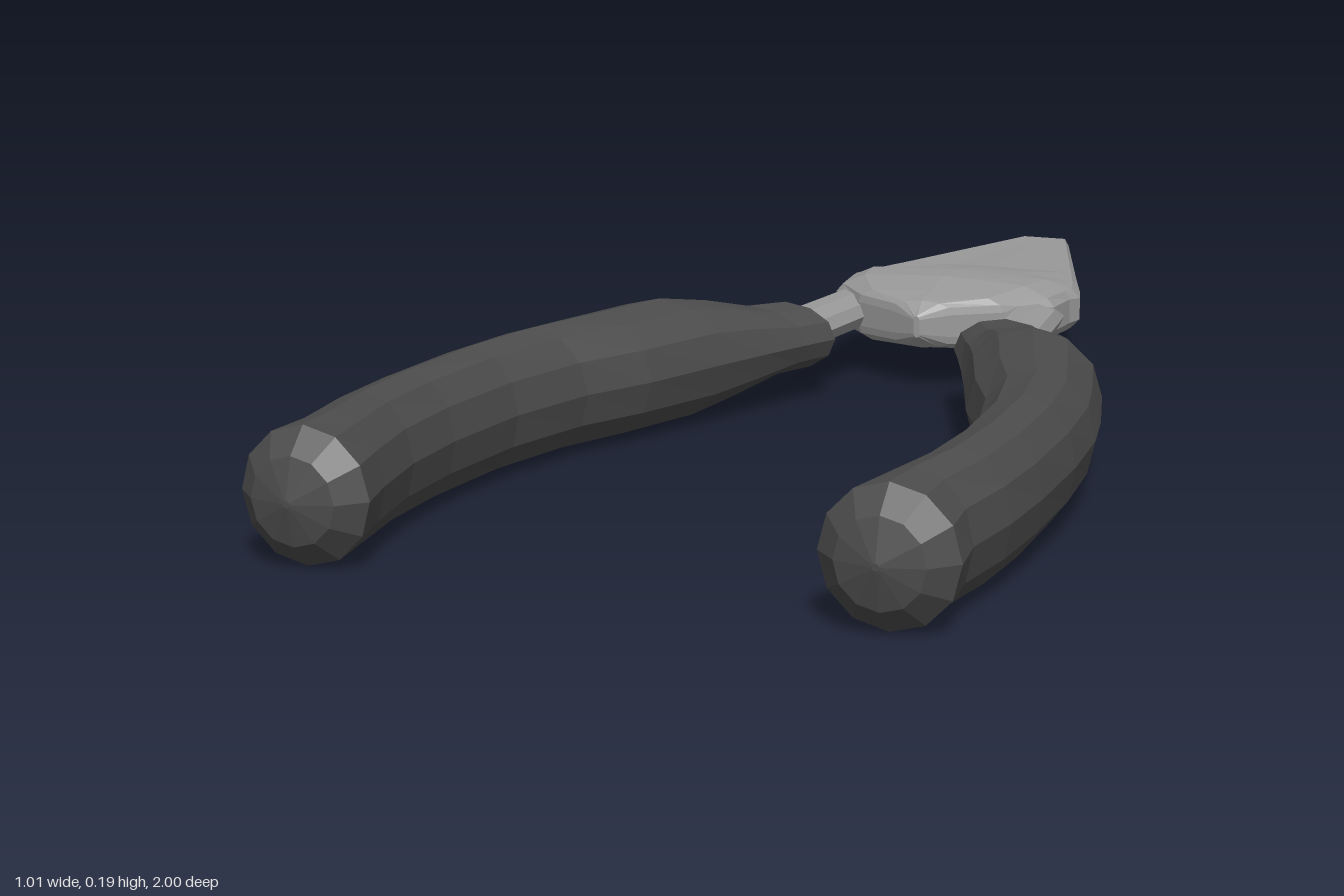
import * as THREE from 'three';

// Skin a list of equal-length rings (counter-clockwise seen from +z), capped at both ends.
function loft(rings) {
  const n = rings[0].length, pos = [], index = [];
  rings.forEach(r => r.forEach(p => pos.push(...p)));
  for (let i = 0; i < rings.length - 1; i++) {
    for (let j = 0; j < n; j++) {
      const a = i * n + j, b = i * n + (j + 1) % n;
      index.push(a, b, b + n, a, b + n, a + n);
    }
  }
  [0, rings.length - 1].forEach((ri, end) => {
    const c = pos.length / 3;
    pos.push(...[0, 1, 2].map(k => rings[ri].reduce((s, p) => s + p[k], 0) / n));
    for (let j = 0; j < n; j++) {
      const a = ri * n + j, b = ri * n + (j + 1) % n;
      index.push(c, end ? a : b, end ? b : a);
    }
  });
  const g = new THREE.BufferGeometry();
  g.setAttribute('position', new THREE.Float32BufferAttribute(pos, 3));
  g.setIndex(index);
  g.computeVertexNormals();
  return g;
}

function ellipse(cx, cy, z, rx, ry, sides) {
  return Array.from({ length: sides }, (_, i) => {
    const a = (i / sides) * Math.PI * 2;
    return [cx + rx * Math.cos(a), cy + ry * Math.sin(a), z];
  });
}

export function createModel() {
  const group = new THREE.Group();
  const steel = new THREE.MeshStandardMaterial({ color: 0x999999, flatShading: true });
  const rubber = new THREE.MeshStandardMaterial({ color: 0x4c4c4c, flatShading: true });
  const add = (name, geometry, material) => {
    const m = new THREE.Mesh(geometry, material);
    m.name = name;
    group.add(m);
  };

  // Jaws and pivot body: z, edge x/y, bevel x/y, shoulder x/y, ridge y
  const headStations = [
    [-1.0, 0.02, 0.003, 0.016, 0.006, 0.01, 0.006, 0.006],
    [-0.98, 0.045, 0.014, 0.038, 0.026, 0.02, 0.026, 0.026],
    [-0.67, 0.155, 0.017, 0.145, 0.03, 0.07, 0.03, 0.031],
    [-0.58, 0.188, 0.018, 0.175, 0.032, 0.08, 0.044, 0.047],
    [-0.525, 0.205, 0.018, 0.19, 0.033, 0.14, 0.045, 0.055],
    [-0.5, 0.195, 0.02, 0.187, 0.034, 0.15, 0.051, 0.058],
    [-0.43, 0.19, 0.02, 0.178, 0.034, 0.14, 0.052, 0.059],
    [-0.36, 0.125, 0.02, 0.12, 0.032, 0.1, 0.042, 0.047],
    [-0.32, 0.05, 0.018, 0.045, 0.03, 0.03, 0.036, 0.039],
    [-0.295, 0.005, 0.012, 0.004, 0.014, 0.003, 0.016, 0.018],
  ];
  const headRing = ([z, w, e, q, f, p, h, c]) => {
    const half = [[w, e], [q, f], [p, h], [0, c], [-p, h], [-q, f], [-w, e]];
    return [...half, ...half.map(([x, y]) => [-x, -y])].map(([x, y]) => [x, y + 0.103, z]);
  };
  add('jawHead', loft(headStations.map(headRing)), steel);

  // Steel arms: z, centre x, half width
  const armStations = [[-0.5, 0.15, 0.04], [-0.42, 0.154, 0.048], [-0.33, 0.164, 0.05],
    [-0.2, 0.18, 0.052], [-0.1, 0.215, 0.052]];

  // Grips: z, inner x, outer x, half height; opens with a shallow recess
  const gripStations = [
    [-0.14, 0.15, 0.24, 0.03], [-0.185, 0.12, 0.25, 0.04], [-0.19, 0.1, 0.272, 0.055],
    [-0.13, 0.127, 0.318, 0.057], [-0.05, 0.16, 0.37, 0.079], [0.04, 0.195, 0.412, 0.0965],
    [0.19, 0.25, 0.455, 0.0965], [0.3, 0.305, 0.48, 0.0965], [0.45, 0.345, 0.497, 0.0965],
    [0.62, 0.36, 0.505, 0.0965], [0.75, 0.356, 0.504, 0.0965], [0.87, 0.335, 0.493, 0.0965],
    [0.95, 0.314, 0.506, 0.0965], [0.985, 0.348, 0.472, 0.062], [1.0, 0.405, 0.415, 0.005],
  ];

  for (const [side, s] of [['left', 1], ['right', -1]]) {
    add(side + 'Arm', loft(armStations.map(([z, x, r]) => ellipse(s * x, 0.1, z, r, 0.032, 10))), steel);
    add(side + 'Grip', loft(gripStations.map(([z, a, b, h]) =>
      ellipse(s * (a + b) / 2, 0.0965, z, (b - a) / 2, h, 12))), rubber);
  }
  return group;
}
